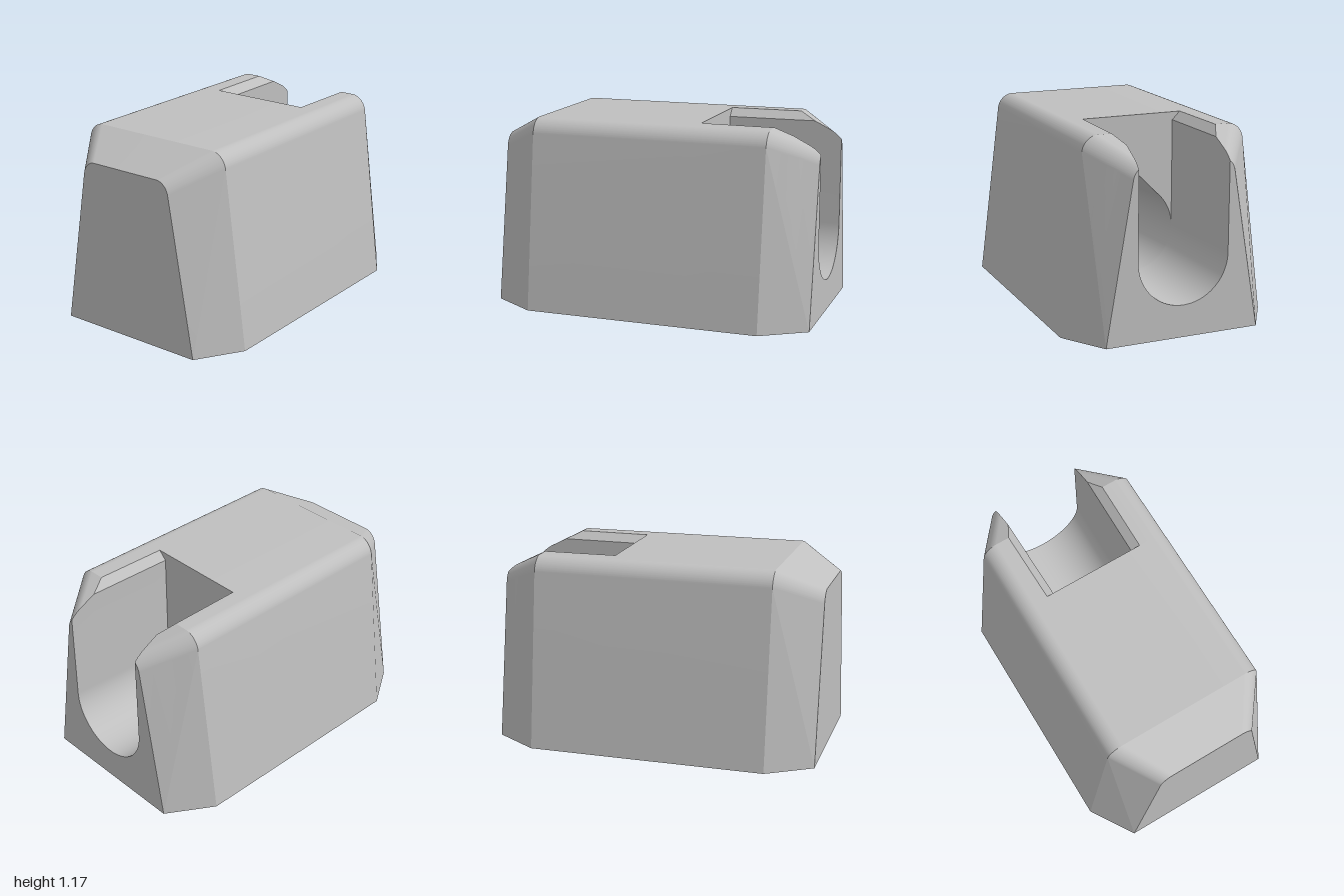
import * as THREE from 'three';
import { toCreasedNormals } from 'three/addons/utils/BufferGeometryUtils.js';

const lerp = THREE.MathUtils.lerp;
const mix = (a, b, t) => a.map((v, i) => lerp(v, b[i], t));

// Half outlines as [z, y]: full-width middle and narrowed, lower ends
const MID = { foot: [0.65, 0], wall: [0.51, 1.08], corner: [0.498, 1.17], flat: [0.412, 1.17] };
const END = { foot: [0.48, 0], wall: [0.315, 0.96], corner: [0.302, 1.035], flat: [0.235, 1.035] };
const SHOULDER = 0.73, SLOT = 0.28, BORE_END = -0.8, CHAMFER_Y = 1.12;

// Outer half outline at x, from the bottom centre up to the top centre
function outer(x) {
  const s = Math.max(0, (Math.abs(x) - SHOULDER) / (1 - SHOULDER));
  const at = (k) => mix(MID[k], END[k], s);
  const wall = at('wall'), corner = at('corner'), flat = at('flat');
  const pts = [[0, 0], at('foot'), mix(MID.wall, END.foot, s), wall];
  for (let i = 1; i <= 24; i++) { // rounded upper edge
    const t = i / 24, a = (1 - t) ** 2, b = 1.42 * t * (1 - t), c = t * t;
    pts.push([0, 1].map((k) => (a * wall[k] + b * corner[k] + c * flat[k]) / (a + b + c)));
  }
  pts.push([0, flat[1]]);
  return pts;
}

// Radius and centre height of the tapering, slightly sloping bore
function bore(x) {
  const [x0, p0, x1, p1] = x >= SLOT
    ? [SLOT, [0.271, 0.456], 1, [0.283, 0.478]]
    : [BORE_END, [0.255, 0.394], SLOT, [0.271, 0.456]];
  return mix(p0, p1, (x - x0) / (x1 - x0));
}

function arc(x, from, to, n) {
  const [r, c] = bore(x), pts = [];
  for (let i = 0; i <= n; i++) {
    const a = lerp(from, to, i / n);
    pts.push([r * Math.cos(a), c + r * Math.sin(a)]);
  }
  return pts;
}

// Half outline at x with the open slot cut from the top
function slotted(x) {
  const pts = outer(x), r = bore(x)[0], top = pts[pts.length - 1][1];
  const lim = r + Math.max(0, top - CHAMFER_Y);
  const k = pts.findIndex((p, i) => i > 1 && p[0] < lim);
  const cut = mix(pts[k - 1], pts[k], (pts[k - 1][0] - lim) / (pts[k - 1][0] - pts[k][0]));
  const shell = pts.map((p, i) => (i >= k ? cut : p));
  return [...shell, [r, Math.min(CHAMFER_Y, cut[1])], ...arc(x, 0, -Math.PI / 2, 28)];
}

// Half outline of the teardrop bore, from its tip down to its lowest point
function teardrop(x) {
  const [r, c] = bore(x);
  return [[0, c + r * Math.SQRT2], ...arc(x, Math.PI / 4, 0, 14), ...arc(x, 0, -Math.PI / 2, 28)];
}

// Collects triangles, each mirrored across z = 0
class Surface {
  constructor() { this.data = []; }
  tri(a, b, c) {
    const t = new THREE.Triangle(...[a, b, c].map((p) => new THREE.Vector3(...p)));
    if (t.getArea() < 1e-8) return;
    const flip = ([x, y, z]) => [x, y, -z];
    this.data.push(...a, ...b, ...c, ...flip(a), ...flip(c), ...flip(b));
  }
  loft(stations, outline) {
    const rings = stations.map((x) => outline(x).map(([z, y]) => [x, y, z]));
    for (let j = 0; j + 1 < rings.length; j++) {
      const p = rings[j], q = rings[j + 1];
      for (let i = 0; i + 1 < p.length; i++) {
        this.tri(p[i], q[i], q[i + 1]);
        this.tri(p[i], q[i + 1], p[i + 1]);
      }
    }
  }
  cap(x, outline, dir) {
    const pts = outline.filter((p, i) => !i
      || Math.hypot(p[0] - outline[i - 1][0], p[1] - outline[i - 1][1]) > 1e-6)
      .map((p) => new THREE.Vector2(...p));
    for (const face of THREE.ShapeUtils.triangulateShape(pts, [])) {
      const [a, b, c] = face.map((i) => pts[i]);
      const nx = (b.y - a.y) * (c.x - a.x) - (b.x - a.x) * (c.y - a.y);
      const [p, q, r] = [a, b, c].map((v) => [x, v.y, v.x]);
      if (nx * dir > 0) this.tri(p, q, r); else this.tri(p, r, q);
    }
  }
  mesh(name, material) {
    const g = new THREE.BufferGeometry();
    g.setAttribute('position', new THREE.Float32BufferAttribute(this.data, 3));
    const m = new THREE.Mesh(toCreasedNormals(g, 0.08), material);
    m.name = name;
    return m;
  }
}

export function createModel() {
  const grey = new THREE.MeshStandardMaterial({ color: 0xbfbfbf });
  grey.name = 'light grey';
  const group = new THREE.Group();
  group.name = 'slottedBlock';

  // Solid part, then the slotted part, with both end faces
  const body = new Surface();
  body.loft([-1, -SHOULDER, SLOT], outer);
  body.loft([SLOT, SHOULDER, 0.83, 0.88, 0.91, 0.94, 0.96, 0.98, 1], slotted);
  body.cap(-1, outer(-1), -1);
  body.cap(1, slotted(1), 1);
  group.add(body.mesh('body', grey));

  // Wall at the back of the slot, above the teardrop opening
  const wall = new Surface(), r = bore(SLOT)[0];
  wall.cap(SLOT, [...teardrop(SLOT).slice(0, 16), [r, CHAMFER_Y],
    [r + MID.flat[1] - CHAMFER_Y, MID.flat[1]], [0, MID.flat[1]]], 1);
  group.add(wall.mesh('slotBackWall', grey));

  // Blind teardrop bore
  const hole = new Surface();
  hole.loft([BORE_END, SLOT], teardrop);
  hole.cap(BORE_END, teardrop(BORE_END), 1);
  group.add(hole.mesh('teardropBore', grey));

  return group;
}
